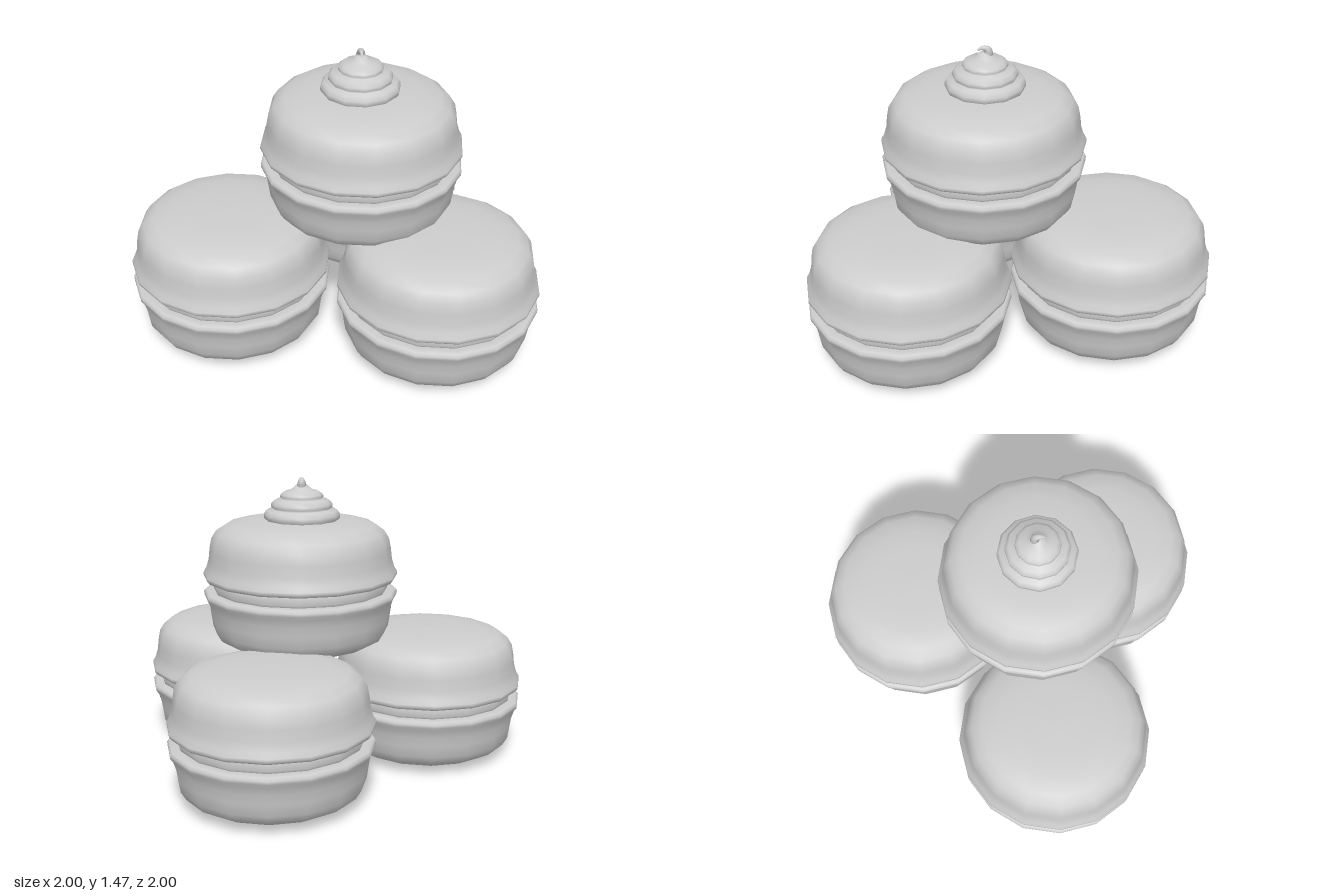
import * as THREE from 'three';

const grey = new THREE.MeshStandardMaterial({ color: 0xcccccc });
grey.name = 'grey';

// Smooth surface of revolution from [radius, height] pairs, listed bottom to top
function lathe(name, profile, sides) {
  const pts = profile.map(([r, y]) => new THREE.Vector2(r, y));
  const mesh = new THREE.Mesh(new THREE.LatheGeometry(pts, sides), grey);
  mesh.name = name;
  return mesh;
}

const lowerShell = [
  [0, 0.002], [0.18, 0.007], [0.29, 0.018], [0.38, 0.038], [0.43, 0.067], [0.456, 0.11],
  [0.465, 0.17], [0.472, 0.22], [0.485, 0.262], [0.499, 0.282], [0.5, 0.298], [0.49, 0.311],
  [0.465, 0.316], [0.4, 0.31],
];
const filling = [[0.4, 0.302], [0.445, 0.306], [0.452, 0.325], [0.452, 0.355], [0.445, 0.375], [0.4, 0.378]];
const upperShell = [
  [0.4, 0.378], [0.465, 0.37], [0.49, 0.374], [0.5, 0.386], [0.499, 0.4], [0.485, 0.424],
  [0.472, 0.466], [0.466, 0.52], [0.456, 0.573], [0.43, 0.615], [0.38, 0.647], [0.29, 0.666],
  [0.18, 0.676], [0, 0.68],
];

// Round sandwich biscuit with two ruffled shells and a filling
function macaron(name, x, y, z) {
  const g = new THREE.Group();
  g.name = name;
  g.add(lathe('lowerShell', lowerShell, 16), lathe('filling', filling, 16), lathe('upperShell', upperShell, 16));
  g.position.set(x, y, z);
  return g;
}

// Piped cream: three rounded tiers, a cone and a tip curling forwards
function creamSwirl() {
  const g = new THREE.Group();
  g.name = 'creamSwirl';
  g.add(lathe('tiers', [
    [0.15, -0.02], [0.18, 0], [0.194, 0.02], [0.194, 0.04], [0.18, 0.06], [0.15, 0.066],
    [0.156, 0.076], [0.156, 0.092], [0.14, 0.11], [0.106, 0.117],
    [0.11, 0.127], [0.107, 0.14], [0.09, 0.153], [0.06, 0.162],
    [0.04, 0.175], [0.025, 0.19], [0, 0.196],
  ], 12));

  const path = new THREE.CatmullRomCurve3([
    [0.16, -0.005], [0.185, -0.014], [0.203, -0.014], [0.212, 0], [0.211, 0.018], [0.2, 0.034],
  ].map(([y, z]) => new THREE.Vector3(0, y, z)));
  const rings = 14, sides = 8;
  const geo = new THREE.TubeGeometry(path, rings, 1, sides, false);
  const pos = geo.attributes.position;
  const v = new THREE.Vector3();
  // Taper the tube to a point along its length
  for (let i = 0; i <= rings; i++) {
    const c = path.getPointAt(i / rings);
    const r = 0.028 * (1 - i / rings) + 0.004;
    for (let j = 0; j <= sides; j++) {
      const k = i * (sides + 1) + j;
      v.fromBufferAttribute(pos, k).sub(c).multiplyScalar(r).add(c);
      pos.setXYZ(k, v.x, v.y, v.z);
    }
  }
  const tip = new THREE.Mesh(geo, grey);
  tip.name = 'curledTip';
  g.add(tip);
  g.position.set(0.155, 1.25, 0.12);
  return g;
}

export function createModel() {
  const model = new THREE.Group();
  model.name = 'macaronStack';
  model.add(
    macaron('leftFrontMacaron', 0.5, 0, 0.495),
    macaron('rightMacaron', -0.5, 0, 0.187),
    macaron('backMacaron', 0.297, 0, -0.5),
    macaron('topMacaron', 0.165, 0.588, 0.13),
    creamSwirl(),
  );
  return model;
}
